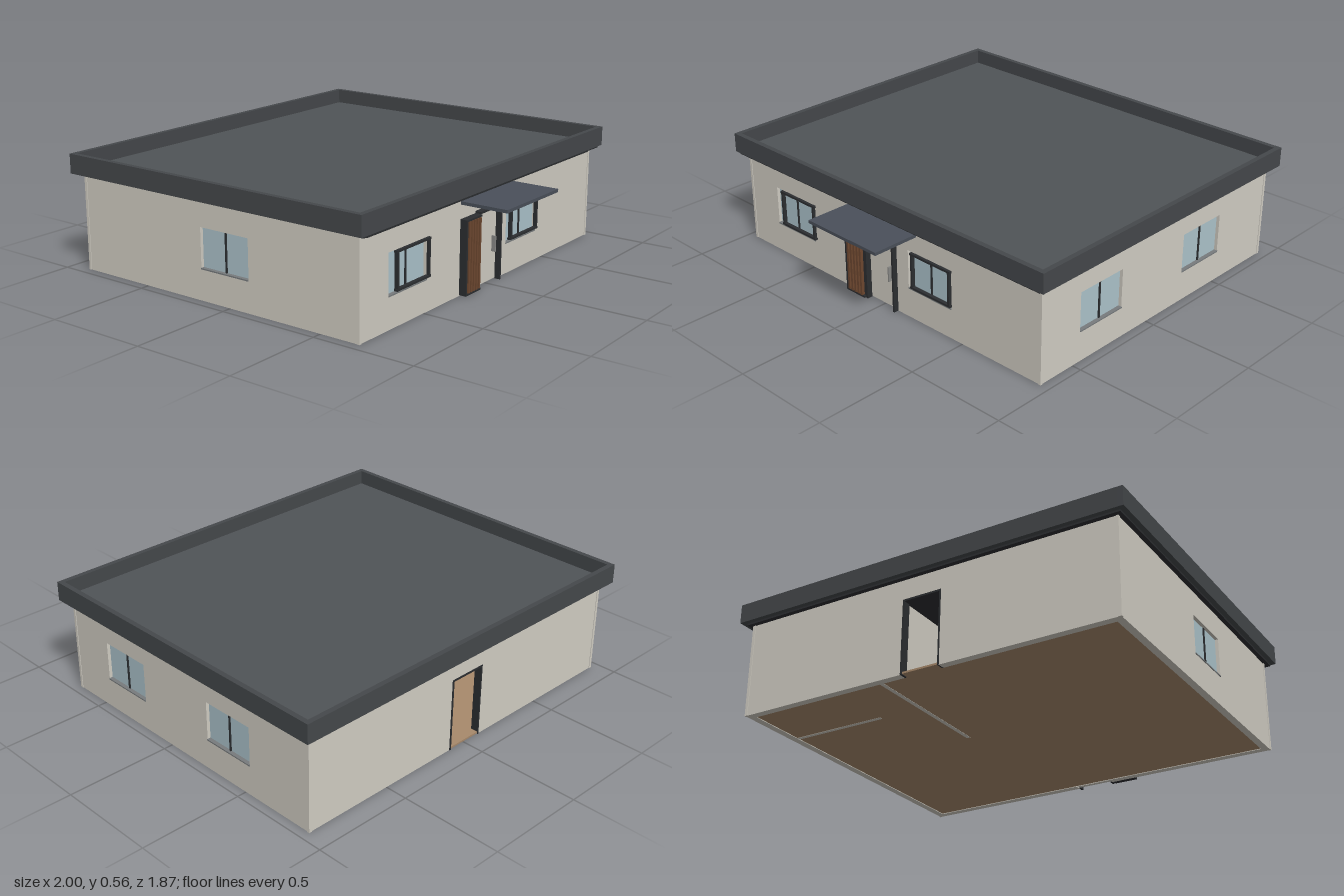
import * as THREE from 'three';

const mat = (color) => new THREE.MeshStandardMaterial({ color });
const wallMat = mat(0xd2cec4), roofMat = mat(0x505457), rimMat = mat(0x45484b), darkMat = mat(0x2c2e31);
const canopyMat = mat(0x4a505a), glassMat = mat(0xadc4cc), woodMat = mat(0x6e4830);
const floorMat = mat(0xa88a6c), metalMat = mat(0x8a8a88), sillMat = mat(0x777b7d);

// Wall planes and levels
const X = 0.953, ZF = 0.70, ZB = -0.89, H = 0.465, T = 0.035;
const ZC = (ZF + ZB) / 2, D = ZF - ZB;

// Box given by its extents on each axis
function box(parent, name, material, [x0, x1], [y0, y1], [z0, z1]) {
  const mesh = new THREE.Mesh(new THREE.BoxGeometry(x1 - x0, y1 - y0, z1 - z0), material);
  mesh.position.set((x0 + x1) / 2, (y0 + y1) / 2, (z0 + z1) / 2);
  mesh.name = name;
  parent.add(mesh);
  return mesh;
}

// Wall in its own frame: outside faces local +z at z = 0; door is [x0, x1, height]
function wall(name, x0, x1, windows, door) {
  const group = new THREE.Group();
  group.name = name;
  const shape = new THREE.Shape();
  shape.moveTo(x0, 0);
  if (door) {
    shape.lineTo(door[0], 0);
    shape.lineTo(door[0], door[2]);
    shape.lineTo(door[1], door[2]);
    shape.lineTo(door[1], 0);
  }
  shape.lineTo(x1, 0);
  shape.lineTo(x1, H);
  shape.lineTo(x0, H);
  shape.closePath();
  for (const [a, b] of windows) {
    const hole = new THREE.Path();
    hole.moveTo(a, 0.15);
    hole.lineTo(a, 0.338);
    hole.lineTo(b, 0.338);
    hole.lineTo(b, 0.15);
    hole.closePath();
    shape.holes.push(hole);
  }
  const mesh = new THREE.Mesh(new THREE.ExtrudeGeometry(shape, { depth: T, bevelEnabled: false }), wallMat);
  mesh.position.z = -T;
  mesh.name = name + 'Panel';
  group.add(mesh);
  // Recessed glass with a centre bar
  for (const [a, b] of windows) {
    const m = (a + b) / 2;
    box(group, 'windowGlass', glassMat, [a, b], [0.15, 0.338], [-0.024, -0.016]);
    box(group, 'windowSill', sillMat, [a, b], [0.146, 0.152], [-0.02, 0.003]);
    box(group, 'windowBar', darkMat, [m - 0.004, m + 0.004], [0.152, 0.336], [-0.026, -0.01]);
  }
  return group;
}

// Raised frame mounted in front of a front window
function windowFrame(parent, x0, x1) {
  const g = new THREE.Group();
  g.name = 'frontWindowFrame';
  const y0 = 0.16, y1 = 0.338, z = [ZF - 0.004, ZF + 0.014], b = 0.01;
  box(g, 'frameTop', darkMat, [x0 - 0.005, x1 + 0.005], [y1 - b, y1], z);
  box(g, 'frameBottom', darkMat, [x0 - 0.005, x1 + 0.005], [y0, y0 + b], z);
  box(g, 'frameSide', darkMat, [x0, x0 + b], [y0, y1], z);
  box(g, 'frameSide', darkMat, [x1 - b, x1], [y0, y1], z);
  parent.add(g);
}

export function createModel() {
  const house = new THREE.Group();
  house.name = 'house';

  // Outer walls
  const front = wall('frontWall', -X, X, [[-0.755, -0.48], [0.165, 0.435]], [-0.1, 0.09, 0.357]);
  front.position.z = ZF;
  const back = wall('backWall', -X, X, [], [-0.095, 0.1, 0.36]);
  back.position.z = ZB;
  back.rotation.y = Math.PI;
  const half = D / 2 - T;
  const right = wall('rightWall', -half, half, [[ZC - 0.455, ZC - 0.18], [ZC + 0.255, ZC + 0.53]]);
  right.position.set(X, 0, ZC);
  right.rotation.y = Math.PI / 2;
  const left = wall('leftWall', -half, half, [[-0.165 - ZC, 0.11 - ZC]]);
  left.position.set(-X, 0, ZC);
  left.rotation.y = -Math.PI / 2;
  house.add(front, back, right, left);

  // Slim corner posts
  for (const x of [-X, X]) for (const z of [ZF, ZB]) {
    const cx = x - Math.sign(x) * 0.004, cz = z - Math.sign(z) * 0.004;
    box(house, 'cornerPost', wallMat, [cx - 0.007, cx + 0.007], [0, H], [cz - 0.007, cz + 0.007]);
  }

  // Floor and inner partitions
  box(house, 'floor', floorMat, [-X + T, X - T], [0.003, 0.012], [ZB + T, ZF - T]);
  box(house, 'doorThreshold', floorMat, [-0.1, 0.095], [0.003, 0.012], [ZB, ZB + T]);
  box(house, 'partition', wallMat, [0.21, 0.23], [0.002, H], [ZB + T, -0.16]);
  box(house, 'partition', wallMat, [0.44, X - T], [0.002, H], [-0.565, -0.547]);

  // Roof: soffit, deck and raised rim
  const z0 = -0.935, z1 = 0.747, rim = 0.025, ry = [0.468, 0.562];
  box(house, 'soffit', darkMat, [-0.975, 0.975], [0.459, 0.47], [z0 + 0.022, z1 - 0.008]);
  box(house, 'roofDeck', roofMat, [-1 + rim, 1 - rim], [0.468, 0.49], [z0 + rim, z1 - rim]);
  for (const s of [-1, 1]) {
    box(house, 'roofRimSide', rimMat, s < 0 ? [-1, -1 + rim] : [1 - rim, 1], ry, [z0, z1]);
    box(house, 'roofRimEnd', rimMat, [-1 + rim, 1 - rim], ry, s < 0 ? [z0, z0 + rim] : [z1 - rim, z1]);
  }
  box(house, 'frontTrim', darkMat, [-0.92, 0.92], [0.443, 0.455], [ZF, ZF + 0.014]);

  // Entrance canopy with a strip beneath
  box(house, 'canopy', canopyMat, [-0.22, 0.22], [0.421, 0.436], [ZF, 0.935]);
  box(house, 'canopyStrip', metalMat, [-0.15, 0.16], [0.416, 0.421], [0.81, 0.83]);

  // Front window frames
  windowFrame(house, -0.707, -0.47);
  windowFrame(house, 0.193, 0.433);

  // Front door with handle and frame
  box(house, 'frontDoor', wallMat, [-0.1, 0.09], [0.004, 0.357], [ZF - 0.025, ZF - 0.003]);
  box(house, 'doorHandle', metalMat, [0.047, 0.054], [0.14, 0.215], [ZF - 0.003, ZF + 0.018]);
  box(house, 'doorFrameSide', darkMat, [0.081, 0.091], [0, 0.357], [ZF - 0.005, ZF + 0.025]);
  box(house, 'doorFrameSide', darkMat, [-0.1, -0.09], [0, 0.357], [ZF - 0.005, ZF + 0.025]);
  box(house, 'doorFrameTop', darkMat, [-0.1, 0.095], [0.355, 0.365], [ZF - 0.005, ZF + 0.03]);

  // Timber slat screen beside the door
  box(house, 'slatBacking', darkMat, [-0.222, -0.1], [0.004, 0.355], [ZF, ZF + 0.025]);
  for (let i = 0; i < 5; i++) {
    const x = -0.206 + i * 0.021;
    box(house, 'slat', woodMat, [x, x + 0.012], [0.015, 0.345], [ZF + 0.025, ZF + 0.04]);
  }
  box(house, 'slatEdge', darkMat, [-0.222, -0.212], [0.004, 0.355], [ZF + 0.025, ZF + 0.036]);
  box(house, 'slatCap', darkMat, [-0.222, -0.1], [0.346, 0.355], [ZF + 0.025, ZF + 0.036]);
  box(house, 'slatFoot', darkMat, [-0.222, -0.1], [0.004, 0.014], [ZF + 0.025, ZF + 0.036]);

  // Lining of the open back doorway
  const lz = [ZB - 0.003, ZB + T];
  box(house, 'backDoorLining', darkMat, [0.087, 0.096], [0, 0.36], lz);
  box(house, 'backDoorLining', darkMat, [-0.101, -0.094], [0, 0.36], lz);
  box(house, 'backDoorLintel', darkMat, [-0.101, 0.096], [0.352, 0.361], lz);

  return house;
}
